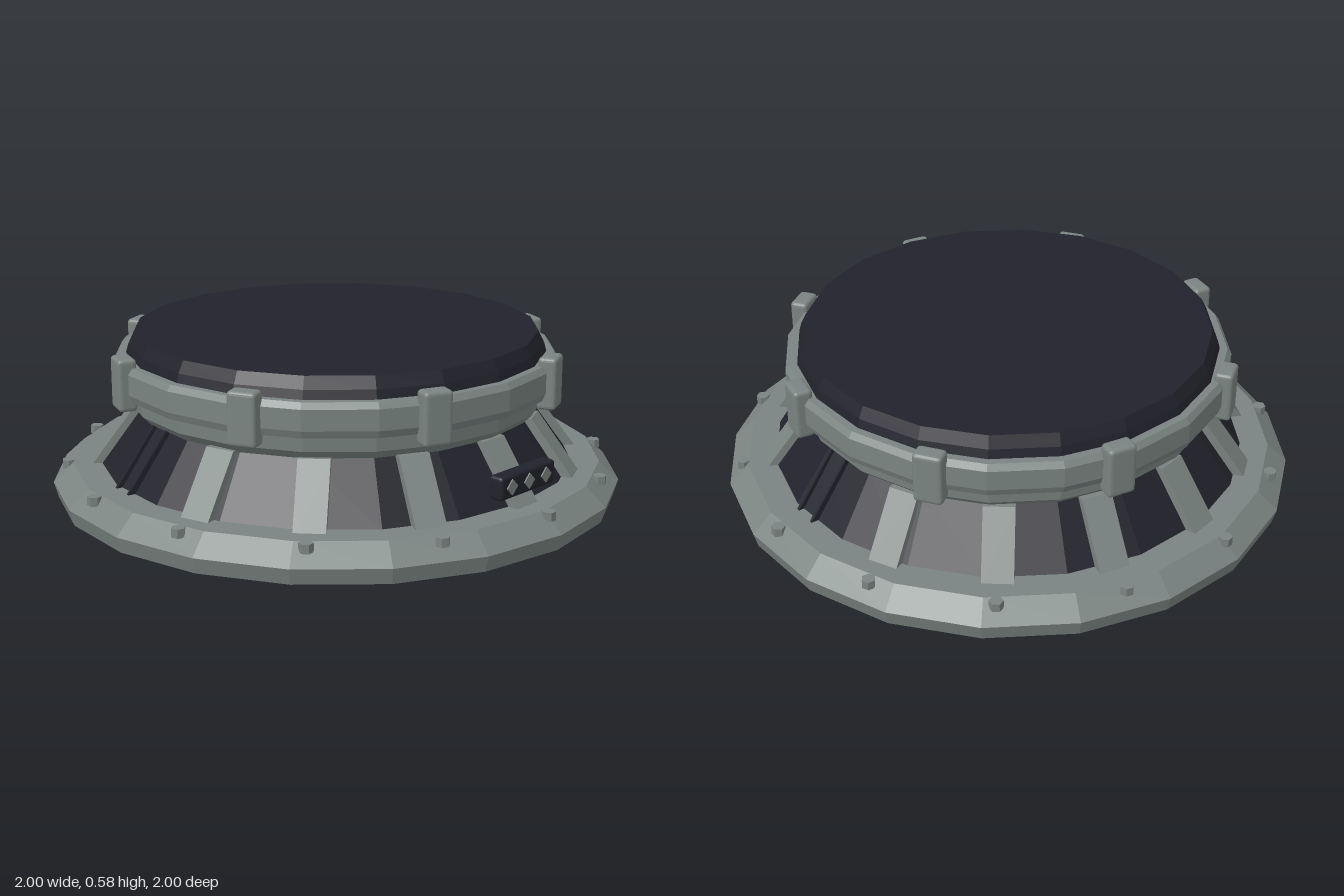
import * as THREE from 'three';
import { RoundedBoxGeometry } from 'three/addons/geometries/RoundedBoxGeometry.js';

export function createModel() {
  const root = new THREE.Group();
  root.name = 'hatch';
  const grey = new THREE.MeshStandardMaterial({ name: 'grey metal', color: 0x7a8481, flatShading: true });
  const dark = new THREE.MeshStandardMaterial({ name: 'dark metal', color: 0x22222c, flatShading: true });

  const add = (name, geometry, material, parent = root) => {
    const mesh = new THREE.Mesh(geometry, material);
    mesh.name = name;
    parent.add(mesh);
    return mesh;
  };

  // Twenty-sided turned part from [radius, height] pairs, bottom to top
  const turned = (name, profile, material) =>
    add(name, new THREE.LatheGeometry(profile.map(([r, y]) => new THREE.Vector2(r, y)), 20), material);

  // Pivot whose local +x points outward; t runs from the back towards +x
  const spoke = (name, t) => {
    const pivot = new THREE.Group();
    pivot.name = name;
    pivot.rotation.y = Math.PI / 2 - t;
    root.add(pivot);
    return pivot;
  };

  turned('baseFlange', [[0, 0], [0.985, 0], [1, 0.055], [0.93, 0.12], [0.8, 0.12]], grey);
  turned('coneWall', [[0.835, 0.115], [0.69, 0.315]], dark);
  turned('collar', [[0.66, 0.31], [0.7, 0.31], [0.73, 0.34], [0.735, 0.39], [0.765, 0.395],
    [0.775, 0.42], [0.775, 0.49], [0.76, 0.51], [0.7, 0.51]], grey);
  turned('lid', [[0.735, 0.505], [0.725, 0.54], [0.705, 0.58], [0, 0.58]], dark);

  // Sloping ribs on the cone
  const ribGeometry = (width) => {
    const side = new THREE.Shape([[0.78, 0.11], [0.868, 0.11], [0.715, 0.315], [0.64, 0.315]]
      .map(([x, y]) => new THREE.Vector2(x, y)));
    return new THREE.ExtrudeGeometry(side, { depth: width, bevelEnabled: false }).translate(0, 0, -width / 2);
  };
  const rib = ribGeometry(0.105);
  const fin = ribGeometry(0.012);
  const bolt = new THREE.CylinderGeometry(0.024, 0.024, 0.03, 6);

  for (let i = 0; i < 14; i++) {
    const pivot = spoke('ribStation', (i / 14) * Math.PI * 2);
    if (i % 7 === 4) {
      // Twin dark fins replace one rib on each side
      for (const s of [-1, 1]) add('fin', fin, dark, pivot).position.set(-0.015, 0, s * 0.042);
    } else {
      add('rib', rib, grey, pivot);
    }
    add('bolt', bolt, grey, pivot).position.set(0.945, 0.108, 0);
  }

  // Clamps around the collar
  const clamp = new RoundedBoxGeometry(0.065, 0.18, 0.1, 2, 0.014);
  for (let i = 0; i < 8; i++) {
    const pivot = spoke('clampStation', ((i + 0.5) / 8) * Math.PI * 2);
    add('clamp', clamp, grey, pivot).position.set(0.772, 0.45, 0);
  }

  // Front control panel with three diamond lights
  const panel = new THREE.Group();
  panel.name = 'controlPanel';
  panel.position.set(0, 0.205, 0.835);
  root.add(panel);
  add('panelHousing', new RoundedBoxGeometry(0.28, 0.08, 0.055, 2, 0.012), dark, panel);
  for (const x of [-0.088, 0, 0.088]) {
    const light = add('panelLight', new THREE.BoxGeometry(0.038, 0.038, 0.008), grey, panel);
    light.position.set(x, 0, 0.028);
    light.rotation.z = Math.PI / 4;
  }
  return root;
}
